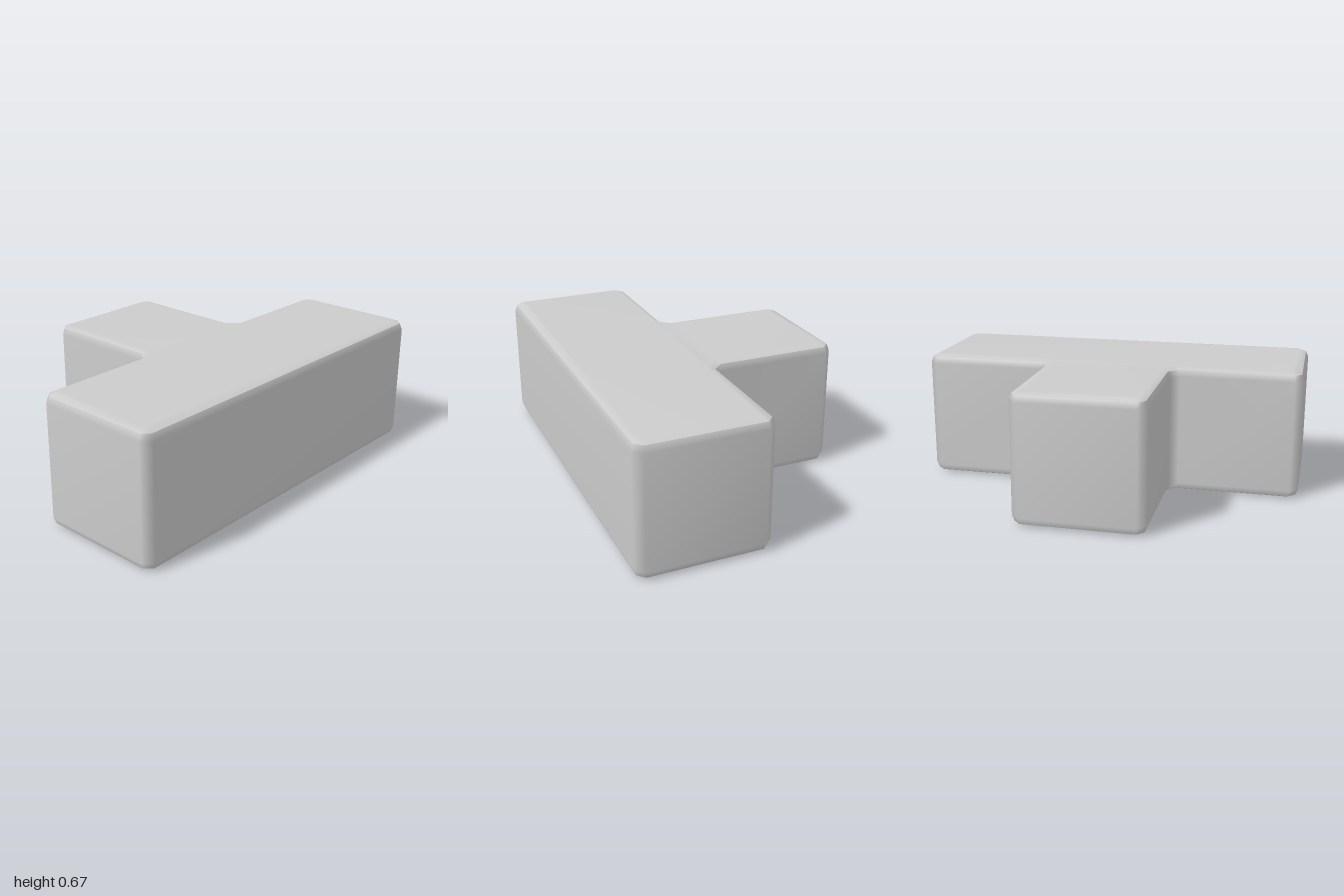
import * as THREE from 'three';

const H = 0.667, W = 0.333, BEVEL = 0.045, MID = 0.013, CHAMFER = 0.043;

// T-shaped plan as (x, -z), counter-clockwise from above
const PLAN = [[-1, -H], [1, -H], [1, 0], [W, 0], [W, H], [-W, H], [-W, 0], [-1, 0]]
  .map(([x, s]) => new THREE.Vector2(x, s));

// Plan inset by d, with every corner cut by a chamfer (inner corners are filled)
function outline(d) {
  const points = [];
  PLAN.forEach((p, i) => {
    const before = PLAN[(i + 7) % 8], after = PLAN[(i + 1) % 8];
    const u = p.clone().sub(before).normalize();
    const v = after.clone().sub(p).normalize();
    const corner = new THREE.Vector2(p.x - d * (u.y + v.y), p.y + d * (u.x + v.x));
    const turn = Math.sign(u.cross(v));
    const c = CHAMFER - turn * 0.586 * d;
    points.push(corner.clone().addScaledVector(u, -c), corner.clone().addScaledVector(v, c));
  });
  return points;
}

// Stack of outlines [inset, height] from low to high, optionally capped at one end
function layeredShell(layers, cap) {
  const rings = layers.map(([d]) => outline(d));
  const n = rings[0].length, position = [], index = [];
  rings.forEach((ring, k) => ring.forEach(p => position.push(p.x, layers[k][1], -p.y)));
  for (let k = 0; k < rings.length - 1; k++) {
    for (let i = 0; i < n; i++) {
      const a = k * n + i, b = k * n + (i + 1) % n;
      index.push(a, b, b + n, a, b + n, a + n);
    }
  }
  if (cap) {
    const level = cap === 'top' ? rings.length - 1 : 0;
    for (const [a, b, c] of THREE.ShapeUtils.triangulateShape(rings[level], [])) {
      const o = level * n;
      if (cap === 'top') index.push(o + a, o + b, o + c);
      else index.push(o + a, o + c, o + b);
    }
  }
  const geometry = new THREE.BufferGeometry();
  geometry.setAttribute('position', new THREE.Float32BufferAttribute(position, 3));
  geometry.setIndex(index);
  geometry.computeVertexNormals();
  return geometry;
}

export function createModel() {
  const group = new THREE.Group();
  group.name = 'tBlock';
  const material = new THREE.MeshStandardMaterial({ color: 0xcccccc });
  const add = (name, layers, cap) => {
    const mesh = new THREE.Mesh(layeredShell(layers, cap), material);
    mesh.name = name;
    group.add(mesh);
  };

  // Each part is smooth; they meet in a crease halfway round the bevel
  add('bottomFace', [[BEVEL, 0], [MID, MID]], 'bottom');
  add('sideWalls', [[MID, MID], [0, BEVEL], [0, H - BEVEL], [MID, H - MID]]);
  add('topFace', [[MID, H - MID], [BEVEL, H]], 'top');
  return group;
}
